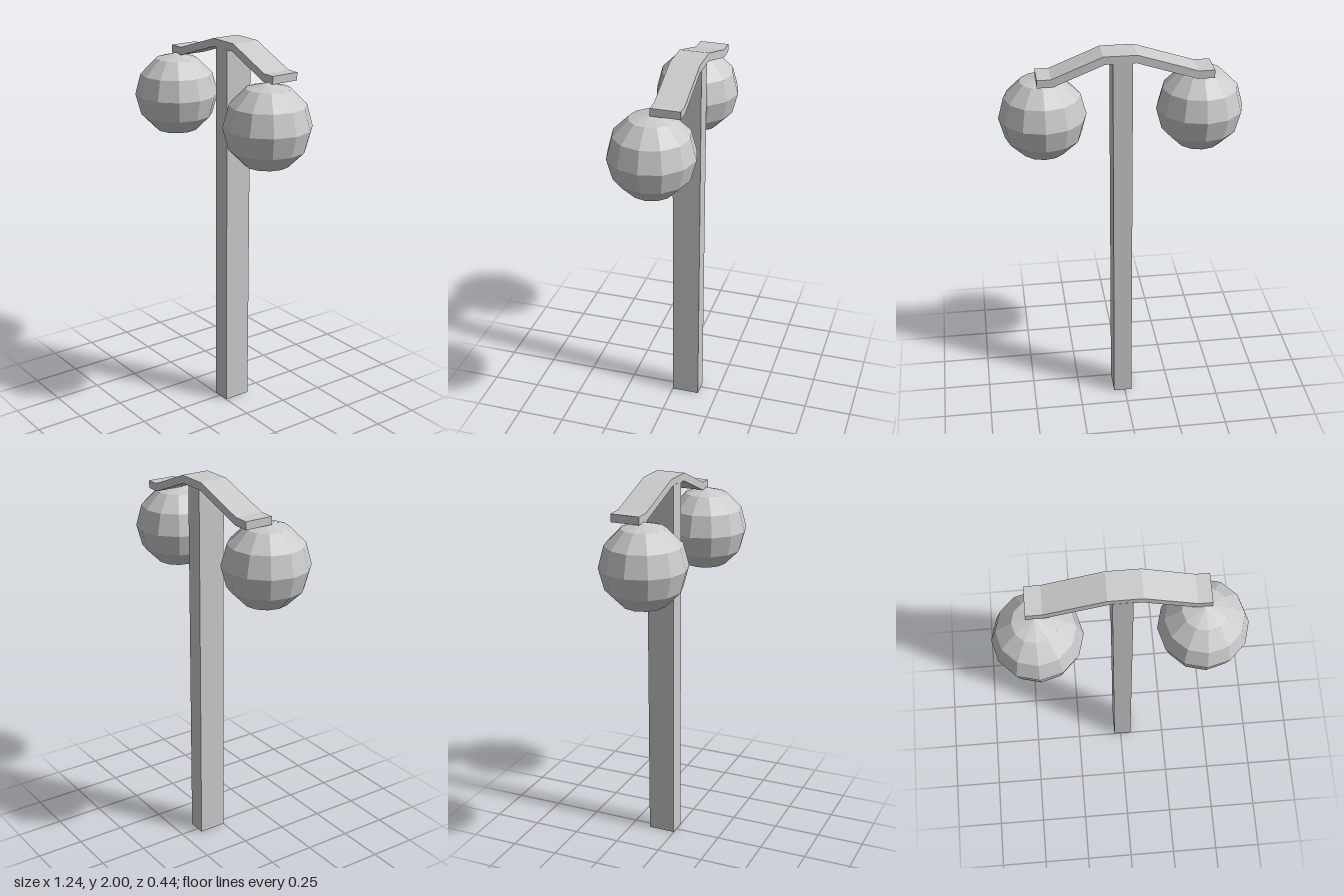
import * as THREE from 'three';

const material = new THREE.MeshStandardMaterial({ color: 0xcccccc, flatShading: true });

function addMesh(group, name, geometry, x, y, z) {
  const mesh = new THREE.Mesh(geometry, material);
  mesh.name = name;
  mesh.position.set(x, y, z);
  group.add(mesh);
}

export function createModel() {
  const group = new THREE.Group();
  group.name = 'streetLamp';

  // Square-cut post, its front flush with the arm
  const postHeight = 1.965, postDepth = 0.146;
  addMesh(group, 'post', new THREE.BoxGeometry(0.097, postHeight, postDepth),
    0.011, postHeight / 2, -postDepth / 2 - 0.001);

  // Bent cross arm: a constant-thickness strip extruded backwards
  const top = [[-0.44, 1.903], [-0.36, 1.903], [-0.06, 2], [0.106, 2], [0.36, 1.897], [0.428, 1.897]];
  const underside = [[0.428, 1.857], [0.352, 1.857], [0.098, 1.96], [-0.054, 1.96], [-0.354, 1.862], [-0.44, 1.862]];
  const profile = new THREE.Shape([...top, ...underside].map(([x, y]) => new THREE.Vector2(x, y)));
  addMesh(group, 'crossArm',
    new THREE.ExtrudeGeometry(profile, { depth: 0.15, bevelEnabled: false }), 0, 0, -0.152);

  // Faceted globes hanging under the arm ends
  const globe = new THREE.SphereGeometry(0.221, 12, 6);
  addMesh(group, 'rightGlobe', globe, -0.398, 1.648, 0);
  addMesh(group, 'leftGlobe', globe, 0.396, 1.642, 0);

  return group;
}
